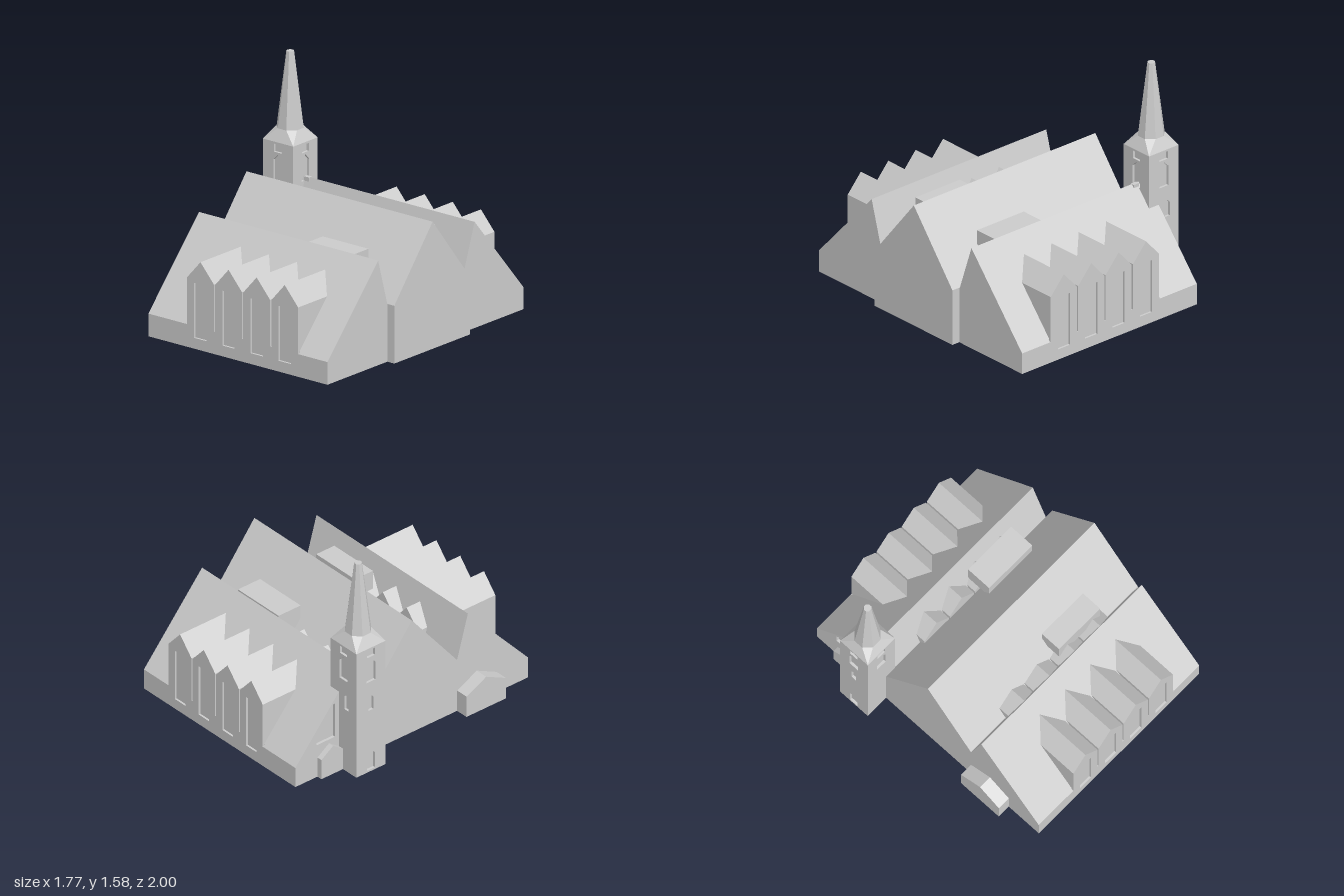
import * as THREE from 'three';
import { ConvexGeometry } from 'three/addons/geometries/ConvexGeometry.js';

const stone = new THREE.MeshStandardMaterial({ color: 0xcccccc });
stone.name = 'stone';

const toVectors = (pts) => pts.map(([x, y]) => new THREE.Vector2(x, y));

function add(parent, name, geometry) {
  const mesh = new THREE.Mesh(geometry, stone);
  mesh.name = name;
  parent.add(mesh);
  return mesh;
}

// Outline of [x, y] points extruded from z0 to z1
function prismZ(points, z0, z1, holes = []) {
  const shape = new THREE.Shape(toVectors(points));
  for (const h of holes) shape.holes.push(new THREE.Path(toVectors(h)));
  return new THREE.ExtrudeGeometry(shape, { depth: z1 - z0, bevelEnabled: false }).translate(0, 0, z0);
}

// Outline of [z, y] points extruded from x0 to x1
function prismX(points, x0, x1, holes = []) {
  const flip = (pts) => pts.map(([z, y]) => [-z, y]);
  return prismZ(flip(points), x0, x1, holes.map(flip)).rotateY(Math.PI / 2);
}

function box(x0, x1, y0, y1, z0, z1) {
  return new THREE.BoxGeometry(x1 - x0, y1 - y0, z1 - z0)
    .translate((x0 + x1) / 2, (y0 + y1) / 2, (z0 + z1) / 2);
}

const rect = (x0, x1, y0, y1) => [[x0, y0], [x1, y0], [x1, y1], [x0, y1]];
const pointed = (c, half, y0, y1) =>
  [[c - half, y0], [c + half, y0], [c + half, y1 - half], [c, y1], [c - half, y1 - half]];

const DEPTH = 0.015; // window recess
const BAY_START = -0.385, BAY_END = 0.575, BAY = 0.24;

// Side aisle with its row of gabled bays; s is the side it faces along z
function aisle(s, eave, ridgeZ, ridgeY, innerZ, innerY, dormerEnd) {
  const group = new THREE.Group();
  group.name = s > 0 ? 'frontAisle' : 'backAisle';
  const full = [[s, 0], [s, eave], [s * ridgeZ, ridgeY], [s * innerZ, innerY], [s * innerZ, 0]];
  const roofAt = eave + (ridgeY - eave) * DEPTH / (1 - ridgeZ);
  const face = s * (1 - DEPTH);
  const middle = [[face, 0], [face, roofAt], ...full.slice(2)];

  if (s > 0) {
    add(group, 'aisleEnd', prismX(full, -0.71, BAY_START));
  } else {
    // Gable end with a stepped window under the roof slope
    const hole = [[-0.82, 0.25], [-0.66, 0.25], [-0.66, 0.51], [-0.69, 0.51],
      [-0.69, 0.45], [-0.74, 0.42], [-0.82, 0.33]];
    add(group, 'gableWall', prismX(full, -0.71, -0.69, [hole]));
    add(group, 'aisleEnd', prismX(full, -0.69, BAY_START));
  }
  add(group, 'aisleMiddle', prismX(middle, BAY_START, BAY_END));
  add(group, 'aisleEnd', prismX(full, BAY_END, 0.82));

  const h = BAY / 2, g = h - 0.005;
  for (let i = 0; i < 4; i++) {
    const c = BAY_START + BAY * (i + 0.5);
    const at = (pts) => pts.map(([x, y]) => [x + c, y]);
    const gable = at([[-g, 0.1], [g, 0.1], [g, 0.48], [0, 0.61], [-g, 0.48]]);
    const front = at([[-h, 0], [h, 0], [h, eave], [g, eave], [g, 0.48], [0, 0.61],
      [-g, 0.48], [-g, eave], [-h, eave]]);
    const span = (a, b) => [Math.min(a, b), Math.max(a, b)];
    add(group, 'dormer', prismZ(gable, ...span(s * dormerEnd, face)));
    add(group, 'dormerFacade', prismZ(front, ...span(face, s), [rect(c - 0.053, c + 0.053, 0.075, 0.455)]));
  }
  return group;
}

// Square tower with recessed openings, broach and eight-sided spire
function tower() {
  const group = new THREE.Group();
  group.name = 'tower';
  const half = 0.13, top = 0.97, wall = 0.018;
  const belfry = [rect(-0.036, 0.036, 0.9, 0.955), pointed(0, 0.04, 0.705, 0.885)];
  const extra = [
    [], // front
    [], // left
    [pointed(0.03, 0.022, 0.48, 0.6)], // back
    [pointed(0, 0.022, 0.48, 0.6), pointed(0, 0.036, 0.015, 0.17)], // right
  ];
  const inner = half - wall;
  add(group, 'towerCore', box(-inner, inner, 0, top, -inner, inner));
  for (let i = 0; i < 4; i++) {
    add(group, 'towerWall', prismZ(rect(-half, half, 0, top), inner, half, [...belfry, ...extra[i]]))
      .rotation.y = i * Math.PI / 2;
  }
  const octagon = (flat, y) => Array.from({ length: 8 }, (_, i) => {
    const a = (i + 0.5) * Math.PI / 4, r = flat / Math.cos(Math.PI / 8);
    return new THREE.Vector3(r * Math.cos(a), y, r * Math.sin(a));
  });
  const corners = [[1, 1], [1, -1], [-1, -1], [-1, 1]]
    .map(([x, z]) => new THREE.Vector3(x * half, top, z * half));
  add(group, 'broach', new ConvexGeometry([...corners, ...octagon(0.087, 1.05)]));
  add(group, 'spire', new ConvexGeometry([...octagon(0.087, 1.05), ...octagon(0.025, 1.575)]));
  group.position.set(-0.755, 0, -0.5);
  group.scale.z = 0.96;
  return group;
}

export function createModel() {
  const model = new THREE.Group();
  model.name = 'church';

  // Nave between the two aisles
  add(model, 'nave', prismX([[0.39, 0], [0.39, 0.4], [0, 0.88], [-0.38, 0.4], [-0.38, 0]], -0.71, 0.88));
  model.add(aisle(1, 0.157, 0.483, 0.725, 0.39, 0.4, 0.335));
  model.add(aisle(-1, 0.15, 0.5, 0.735, 0.38, 0.385, 0.34));

  // Boxes bridging the roof valleys
  add(model, 'frontRoofBox', box(0.135, 0.525, 0.535, 0.675, 0.23, 0.385));
  add(model, 'backRoofBox', box(0.13, 0.54, 0.52, 0.675, -0.43, -0.24));

  model.add(tower());
  add(model, 'ridgeBlock', box(-0.63, -0.585, 0.69, 0.735, -0.52, -0.49));

  // Small gabled porches on the right end
  const porch = (z0, z1, eave, ridge) =>
    [[z0, 0], [z1, 0], [z1, eave], [(z0 + z1) / 2, ridge], [z0, eave]];
  add(model, 'frontPorch', prismX(porch(0.39, 0.73, 0.16, 0.243), -0.805, -0.71));
  add(model, 'backPorch', prismX(porch(-0.81, -0.61, 0.15, 0.22), -0.75, -0.71));

  return model;
}
